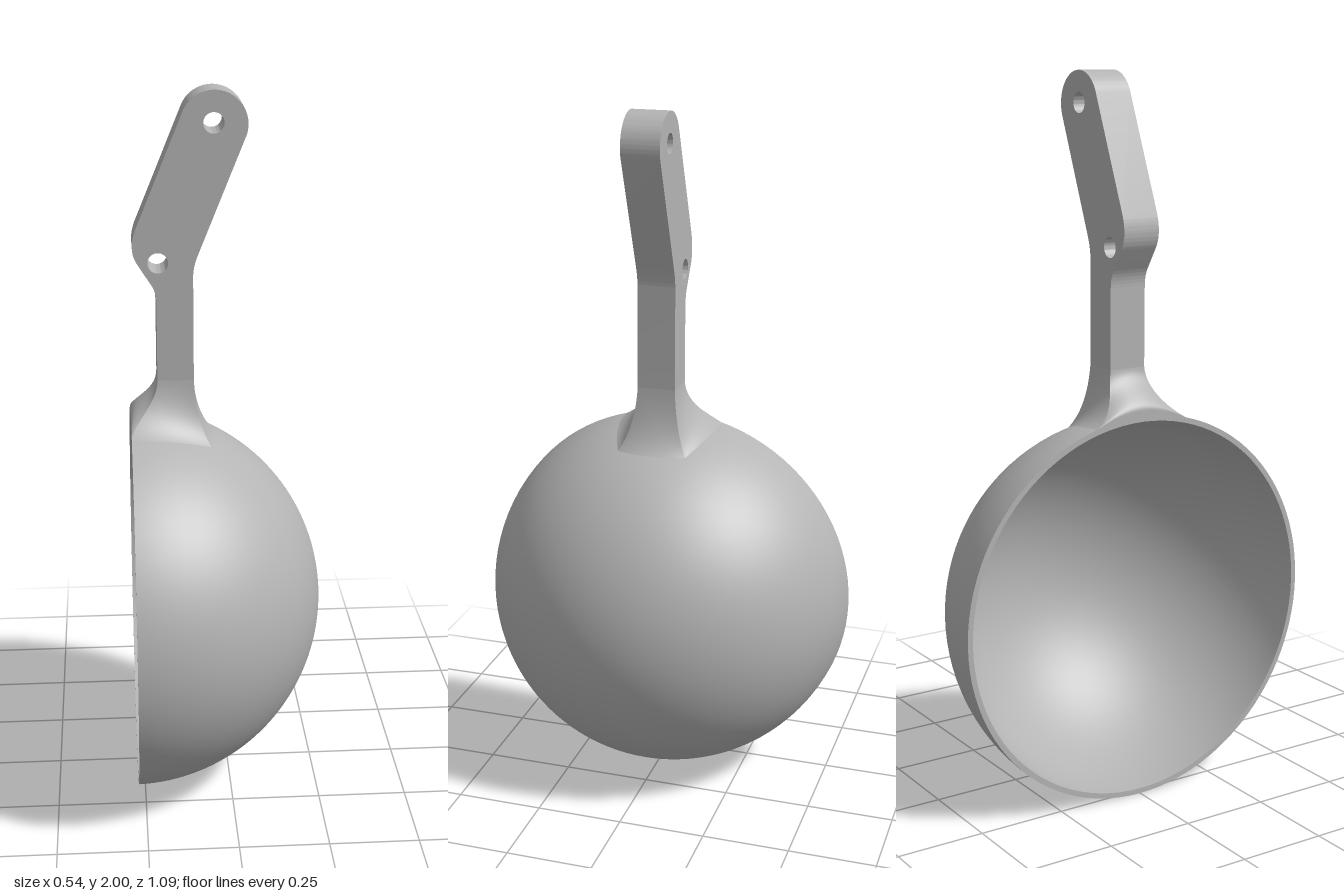
import * as THREE from 'three';
import { toCreasedNormals } from 'three/addons/utils/BufferGeometryUtils.js';

const R = 0.545;        // bowl radius
const CX = -0.28;       // bowl centre
const CY = 0.545;
const RIM = -0.27;      // plane of the open rim
const INNER = 0.53;
const HALF = 0.055;     // half thickness of the handle

const lerp = THREE.MathUtils.lerp;

// Curve of the bowl section, from the rim plane to the pole
function arc(radius, n = 40) {
  const start = Math.asin((RIM - CX) / radius);
  return Array.from({ length: n + 1 }, (_, i) => {
    const a = lerp(start, Math.PI / 2, i / n);
    return new THREE.Vector2(Math.max(0, radius * Math.cos(a)), radius * Math.sin(a));
  });
}

// One concave side of the blend between stem and bowl.
// a runs 0..1 from the rim side to the far side, b runs -1..1 across z.
function flareSide(edge) {
  const at = (a, b, t) => {
    const grow = (d) => 2 * t * (1 - t) * 0.01 + t * t * d;
    const s = THREE.MathUtils.smoothstep(t * 1.3, 0, 1);
    return [
      lerp(-0.195 - 0.075 * s, -0.095 + grow(0.1), a),
      b * (HALF + lerp(grow(0.16), grow(0.1), a)),
    ];
  };
  const nu = 20, nt = 20, pos = [], index = [];
  for (let j = 0; j <= nt; j++) {
    const t = j / nt;
    for (let i = 0; i <= nu; i++) {
      const [a, b] = edge(i / nu);
      const [x, z] = at(a, b, t);
      const [ex, ez] = at(a, b, 1);
      const land = CY + Math.sqrt(R * R - (ex - CX) ** 2 - ez * ez) - 0.003;
      const y = (1 - t) ** 2 * 1.21 + 2 * t * (1 - t) * (land + 0.04) + t * t * land;
      pos.push(x, y, z);
      if (i < nu && j < nt) {
        const p = j * (nu + 1) + i, q = p + nu + 1;
        index.push(p, q, p + 1, p + 1, q, q + 1);
      }
    }
  }
  const g = new THREE.BufferGeometry();
  g.setAttribute('position', new THREE.Float32BufferAttribute(pos, 3));
  g.setIndex(index);
  g.computeVertexNormals();
  return g;
}

export function createModel() {
  const model = new THREE.Group();
  const grey = new THREE.MeshStandardMaterial({ color: 0xb4b4b4 });
  const add = (parent, name, geometry) => {
    const mesh = new THREE.Mesh(geometry, grey);
    mesh.name = name;
    parent.add(mesh);
    return mesh;
  };

  // Hollow half-sphere bowl, opening toward -x
  const bowl = new THREE.Group();
  bowl.name = 'bowl';
  const outer = arc(R), inner = arc(INNER).reverse();
  const lathe = (points) => new THREE.LatheGeometry(points, 96);
  add(bowl, 'bowlOutside', lathe(outer));
  add(bowl, 'bowlInside', lathe(inner));
  add(bowl, 'bowlRim', lathe([inner[inner.length - 1], outer[0]]));
  bowl.rotation.z = -Math.PI / 2;
  bowl.position.set(CX, CY, 0);
  model.add(bowl);

  // Blend from the stem into the bowl: four sides with sharp corners
  const flare = new THREE.Group();
  flare.name = 'stemFlare';
  add(flare, 'flareFront', flareSide((u) => [u, 1]));
  add(flare, 'flareBack', flareSide((u) => [1 - u, -1]));
  add(flare, 'flareFar', flareSide((u) => [1, 1 - 2 * u]));
  add(flare, 'flareRimSide', flareSide((u) => [0, 2 * u - 1]));
  model.add(flare);

  // Flat handle: upright stem and leaning arm with a rounded end
  const s = new THREE.Shape();
  const lean = THREE.MathUtils.degToRad(69);
  s.moveTo(-0.195, 1.11);
  s.lineTo(-0.095, 1.11);
  s.lineTo(-0.095, 1.5);
  s.quadraticCurveTo(-0.095, 1.53, -0.08, 1.565);
  s.lineTo(0.047, 1.878);
  s.absarc(-0.037, 1.91, 0.09, lean - Math.PI / 2, lean + Math.PI / 2, false);
  s.lineTo(-0.25, 1.63);
  s.quadraticCurveTo(-0.27, 1.575, -0.245, 1.537);
  s.lineTo(-0.21, 1.482);
  s.quadraticCurveTo(-0.195, 1.46, -0.195, 1.43);
  s.closePath();
  for (const [x, y] of [[-0.19, 1.54], [-0.038, 1.914]]) {
    const hole = new THREE.Path();
    hole.absarc(x, y, 0.028, 0, Math.PI * 2, true);
    s.holes.push(hole);
  }
  const plate = new THREE.ExtrudeGeometry(s, { depth: HALF * 2, bevelEnabled: false, curveSegments: 24 });
  plate.translate(0, 0, -HALF);
  add(model, 'handle', toCreasedNormals(plate, 0.6));

  return model;
}
